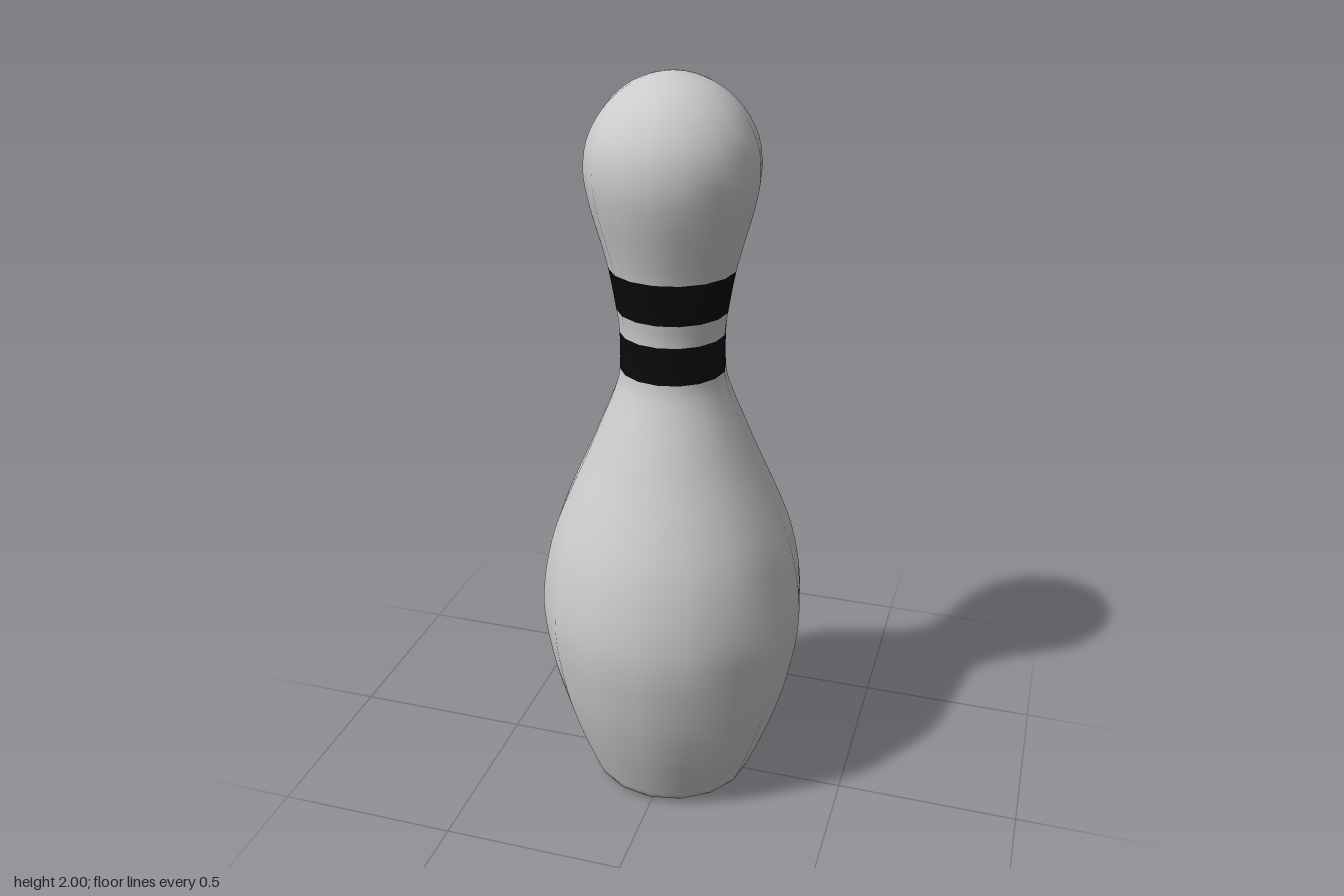
import * as THREE from 'three';

const SIDES = 16;
const STEPS = 3; // spline samples between control points

// Body outline from the bottom rim to the tip, as [radius, height]
const OUTLINE = [
  [0.225, 0.02], [0.257, 0.1], [0.293, 0.2], [0.325, 0.31], [0.347, 0.42], [0.358, 0.5], [0.36, 0.58],
  [0.348, 0.68], [0.321, 0.79], [0.277, 0.9], [0.232, 1.0], [0.19, 1.1], [0.153, 1.19],
  [0.138, 1.25], [0.137, 1.35], [0.144, 1.41], [0.163, 1.52],
  [0.184, 1.6], [0.206, 1.68], [0.219, 1.76], [0.209, 1.84], [0.171, 1.91], [0.118, 1.96], [0.06, 1.988], [0, 2],
];
// Slightly domed underside, leading up to the rim
const UNDERSIDE = [[0.055, 0], [0.15, 0.007]];

export function createModel() {
  const group = new THREE.Group();
  const toVectors = (list) => list.map(([r, y]) => new THREE.Vector2(r, y));
  const curve = new THREE.SplineCurve(toVectors(OUTLINE));
  const profile = [...toVectors(UNDERSIDE), ...curve.getPoints((OUTLINE.length - 1) * STEPS)];
  profile[profile.length - 1].set(0, 2);
  const surface = new THREE.LatheGeometry(profile, SIDES);

  const grey = new THREE.MeshStandardMaterial({ color: 0xcccccc });
  const black = new THREE.MeshStandardMaterial({ color: 0x0a0a0a });

  // Profile row of an outline point at a given height
  const rowAt = (y) => UNDERSIDE.length + STEPS * OUTLINE.findIndex((p) => p[1] === y);

  // A ring of the surface between two rows; shared normals keep the seams smooth
  const addSection = (name, from, to, material) => {
    const index = [];
    for (let i = 0; i < SIDES; i++) {
      for (let j = from; j < to; j++) {
        const a = i * profile.length + j;
        const b = a + profile.length;
        index.push(a, b, a + 1, b + 1, a + 1, b);
      }
    }
    const geometry = surface.clone();
    geometry.setIndex(index);
    const mesh = new THREE.Mesh(geometry, material);
    mesh.name = name;
    group.add(mesh);
  };

  addSection('body', 0, rowAt(1.25), grey);
  addSection('lowerBand', rowAt(1.25), rowAt(1.35), black);
  addSection('neck', rowAt(1.35), rowAt(1.41), grey);
  addSection('upperBand', rowAt(1.41), rowAt(1.52), black);
  addSection('head', rowAt(1.52), profile.length - 1, grey);

  // Small flat disc closing the underside
  const base = new THREE.Mesh(new THREE.CircleGeometry(0.055, SIDES).rotateX(Math.PI / 2), grey);
  base.name = 'baseDisc';
  group.add(base);

  return group;
}
